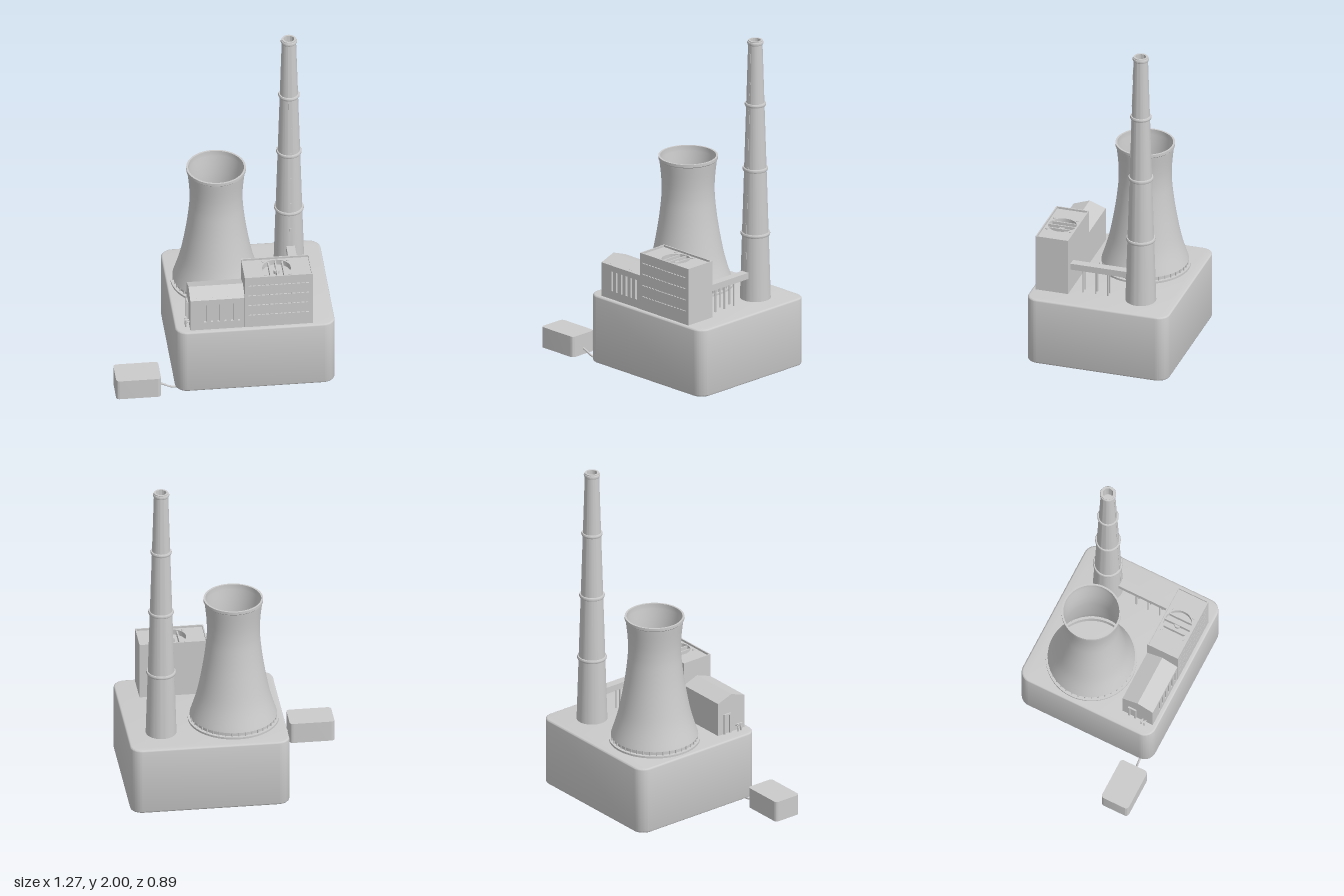
import * as THREE from 'three';
import { toCreasedNormals } from 'three/addons/utils/BufferGeometryUtils.js';

const grey = new THREE.MeshStandardMaterial({ color: 0xcccccc });
const greyDouble = new THREE.MeshStandardMaterial({ color: 0xcccccc, side: THREE.DoubleSide });

function add(parent, name, geometry, x = 0, y = 0, z = 0, material = grey) {
  const mesh = new THREE.Mesh(geometry, material);
  mesh.name = name;
  mesh.position.set(x, y, z);
  parent.add(mesh);
  return mesh;
}

// Box given by its limits on each axis
function block(parent, name, x0, x1, y0, y1, z0, z1) {
  return add(parent, name, new THREE.BoxGeometry(x1 - x0, y1 - y0, z1 - z0),
    (x0 + x1) / 2, (y0 + y1) / 2, (z0 + z1) / 2);
}

function rect(Type, x0, x1, y0, y1) {
  return new Type([[x0, y0], [x1, y0], [x1, y1], [x0, y1]].map(p => new THREE.Vector2(...p)));
}

// Upright slab with rounded vertical corners and an optional soft rim
function roundedSlab(parent, name, x0, x1, y0, y1, z0, z1, r, bevel) {
  const w = (x1 - x0) / 2 - bevel, d = (z1 - z0) / 2 - bevel, s = new THREE.Shape();
  r -= bevel;
  s.absarc(w - r, d - r, r, 0, Math.PI / 2);
  s.absarc(r - w, d - r, r, Math.PI / 2, Math.PI);
  s.absarc(r - w, r - d, r, Math.PI, Math.PI * 1.5);
  s.absarc(w - r, r - d, r, Math.PI * 1.5, Math.PI * 2);
  const g = new THREE.ExtrudeGeometry(s, {
    depth: y1 - y0 - 2 * bevel, bevelEnabled: bevel > 0, bevelSize: bevel,
    bevelThickness: bevel, bevelSegments: 3, curveSegments: 10,
  });
  g.rotateX(-Math.PI / 2);
  return add(parent, name, toCreasedNormals(g, 0.6), (x0 + x1) / 2, y0 + bevel, (z0 + z1) / 2);
}

function lathe(parent, name, profile, x, z, material = grey) {
  const g = new THREE.LatheGeometry(profile.map(p => new THREE.Vector2(...p)), 64);
  return add(parent, name, toCreasedNormals(g, 0.6), x, 0, z, material);
}

function tube(parent, name, points, r) {
  const curve = new THREE.CatmullRomCurve3(points.map(p => new THREE.Vector3(...p)));
  return add(parent, name, new THREE.TubeGeometry(curve, 24, r, 8));
}

// Front wall with rectangular openings
function wall(parent, name, x0, x1, y0, y1, z, thick, holes) {
  const s = rect(THREE.Shape, x0, x1, y0, y1);
  holes.forEach(h => s.holes.push(rect(THREE.Path, ...h)));
  return add(parent, name, new THREE.ExtrudeGeometry(s, { depth: thick, bevelEnabled: false }), 0, 0, z);
}

const ground = 0.425;

function coolingTower(parent) {
  const g = new THREE.Group();
  g.name = 'coolingTower';
  parent.add(g);
  const outer = new THREE.SplineCurve([[0.252, 0.46], [0.21, 0.6], [0.176, 0.78],
    [0.157, 0.93], [0.153, 1.02], [0.157, 1.1], [0.167, 1.19]].map(p => new THREE.Vector2(...p)));
  const skin = outer.getPoints(36).map(p => [p.x, p.y]);
  const lining = skin.map(([r, y]) => [r - 0.006, y]).reverse();
  lathe(g, 'shell', [...skin, [0.172, 1.195], [0.172, 1.212], [0.161, 1.212], ...lining, skin[0]], 0, -0.115);
  // Footing ring, recessed collar and short posts
  lathe(g, 'footing', [[0.23, ground], [0.263, ground], [0.263, 0.437], [0.243, 0.437],
    [0.243, 0.462], [0.23, 0.462], [0.23, ground]], 0, -0.115);
  for (let i = 0; i < 40; i++) {
    const a = i / 40 * Math.PI * 2;
    add(g, 'post', new THREE.CylinderGeometry(0.004, 0.004, 0.026, 6),
      0.248 * Math.cos(a), 0.449, -0.115 + 0.248 * Math.sin(a));
  }
}

function chimney(parent) {
  const g = new THREE.Group();
  g.name = 'chimney';
  parent.add(g);
  const x = 0.435, z = -0.228;
  const radius = y => 0.089 - (y - ground) * 0.0305;
  lathe(g, 'stack', [[0, ground], [radius(ground), ground], [radius(2), 2], [0.03, 2], [0.03, 1.9], [0, 1.9]], x, z);
  // Collars
  for (const y of [0.82, 1.215, 1.61, 1.985]) {
    const r = radius(y), out = y > 1.9 ? 0.006 : 0.009;
    lathe(g, 'collar', [[r - 0.005, y - 0.012], [r + out - 0.003, y - 0.01], [r + out, y - 0.003],
      [r + out, y + 0.003], [r + out - 0.003, y + 0.009], [r - 0.005, y + 0.01]], x, z);
  }
  // Narrow windows up the front
  for (let i = 0; i < 8; i++) {
    const y = 0.68 + i * 0.172;
    const slit = add(g, 'window', new THREE.BoxGeometry(0.014, 0.08, 0.008), x, y, z + radius(y) - 0.002);
    slit.rotation.x = -0.0305;
  }
}

function hall(parent) {
  const g = new THREE.Group();
  g.name = 'gabledHall';
  parent.add(g);
  // Gabled body, extruded along x
  const s = new THREE.Shape([[-0.37, ground], [-0.19, ground], [-0.19, 0.63], [-0.2875, 0.665], [-0.37, 0.6355]]
    .map(p => new THREE.Vector2(...p)));
  const body = add(g, 'body', new THREE.ExtrudeGeometry(s, { depth: 0.32, bevelEnabled: false }), -0.205);
  body.rotation.y = Math.PI / 2;
  const eave = new THREE.Shape([[-0.385, 0.618], [-0.36, 0.618], [-0.36, 0.639], [-0.385, 0.63]]
    .map(p => new THREE.Vector2(...p)));
  add(g, 'eave', new THREE.ExtrudeGeometry(eave, { depth: 0.32, bevelEnabled: false }), -0.205).rotation.y = Math.PI / 2;
  const slots = [];
  for (let i = 0; i < 6; i++) slots.push([-0.125 + i * 0.039, -0.112 + i * 0.039, 0.475, 0.595]);
  wall(g, 'frontWall', -0.205, 0.115, ground, 0.618, 0.37, 0.015, slots);
  // Door frame and window on the gable end
  block(g, 'doorFrame', -0.215, -0.205, ground, 0.55, 0.23, 0.24);
  block(g, 'doorFrame', -0.215, -0.205, ground, 0.55, 0.27, 0.28);
  block(g, 'doorLintel', -0.215, -0.205, 0.54, 0.55, 0.23, 0.28);
  // Outdoor pipes with hand wheels
  for (const z of [0.322, 0.342]) {
    tube(g, 'pipe', [[-0.2, 0.455, z], [-0.218, 0.457, z], [-0.226, 0.45, z], [-0.226, ground, z]], 0.005);
    add(g, 'handWheel', new THREE.CylinderGeometry(0.009, 0.009, 0.005, 12), -0.226, 0.47, z);
    add(g, 'valveStem', new THREE.CylinderGeometry(0.003, 0.003, 0.025, 8), -0.226, 0.458, z);
  }
}

function boilerHouse(parent) {
  const g = new THREE.Group();
  g.name = 'boilerHouse';
  parent.add(g);
  block(g, 'body', 0.11, 0.505, ground, 0.725, 0.19, 0.379);
  const slits = [];
  for (const y of [0.505, 0.573, 0.641, 0.709])
    for (let i = 0; i < 14; i++) slits.push([0.132 + i * 0.0255, 0.15 + i * 0.0255, y, y + 0.006]);
  wall(g, 'frontWall', 0.11, 0.505, ground, 0.725, 0.379, 0.008, slits);
  // Roof slab with fan opening, and parapet around it
  const cx = 0.305, cz = 0.2885;
  const flat = (name, shape, y, depth) => {
    const geo = new THREE.ExtrudeGeometry(shape, { depth, bevelEnabled: false, curveSegments: 32 });
    geo.rotateX(-Math.PI / 2);
    add(g, name, toCreasedNormals(geo, 0.6), 0, y, 0);
  };
  const roof = rect(THREE.Shape, 0.11, 0.505, -0.387, -0.19);
  roof.holes.push(new THREE.Path().absarc(cx, -cz, 0.083, 0, Math.PI * 2, true));
  flat('roof', roof, 0.725, 0.033);
  const rim = rect(THREE.Shape, 0.11, 0.505, -0.387, -0.19);
  rim.holes.push(rect(THREE.Path, 0.117, 0.498, -0.38, -0.197));
  flat('parapet', rim, 0.758, 0.012);
  // Fan grille bars and corner bolts
  for (const dx of [-0.04, 0, 0.04]) {
    const half = Math.sqrt(0.083 ** 2 - (Math.abs(dx) + 0.004) ** 2);
    block(g, 'fanBar', cx + dx - 0.004, cx + dx + 0.004, 0.725, 0.755, cz - half, cz + half);
  }
  add(g, 'fanHub', new THREE.CylinderGeometry(0.018, 0.018, 0.02, 24), cx, 0.735, cz);
  for (const sx of [-1, 1]) for (const sz of [-1, 1])
    add(g, 'bolt', new THREE.CylinderGeometry(0.008, 0.008, 0.006, 16), cx + sx * 0.07, 0.76, cz + sz * 0.07);
}

function flueDuct(parent) {
  const g = new THREE.Group();
  g.name = 'flueDuct';
  parent.add(g);
  block(g, 'duct', 0.41, 0.46, 0.562, 0.6, -0.16, 0.2);
  for (const z of [0.115, 0.04, -0.035]) for (const x of [0.417, 0.453])
    add(g, 'ductLeg', new THREE.CylinderGeometry(0.005, 0.005, 0.14, 8), x, 0.495, z);
}

export function createModel() {
  const model = new THREE.Group();
  model.name = 'powerStation';
  // Plinth on four round feet
  roundedSlab(model, 'plinth', -0.29, 0.635, 0.015, ground, -0.445, 0.41, 0.07, 0.01);
  for (const x of [-0.21, 0.55]) for (const z of [-0.36, 0.33])
    lathe(model, 'foot', [[0, 0.004], [0.02, 0.004], [0.022, 0], [0.033, 0], [0.035, 0.003], [0.035, 0.02]], x, z, greyDouble);
  coolingTower(model);
  chimney(model);
  hall(model);
  boilerHouse(model);
  flueDuct(model);
  // Separate box joined by a cable
  roundedSlab(model, 'sideBox', -0.64, -0.38, 0.015, 0.14, 0.27, 0.443, 0.02, 0);
  tube(model, 'cable', [[-0.39, 0.056, 0.357], [-0.36, 0.042, 0.355], [-0.32, 0.018, 0.348],
    [-0.28, 0.009, 0.343], [-0.24, 0.012, 0.338]], 0.006);
  return model;
}
